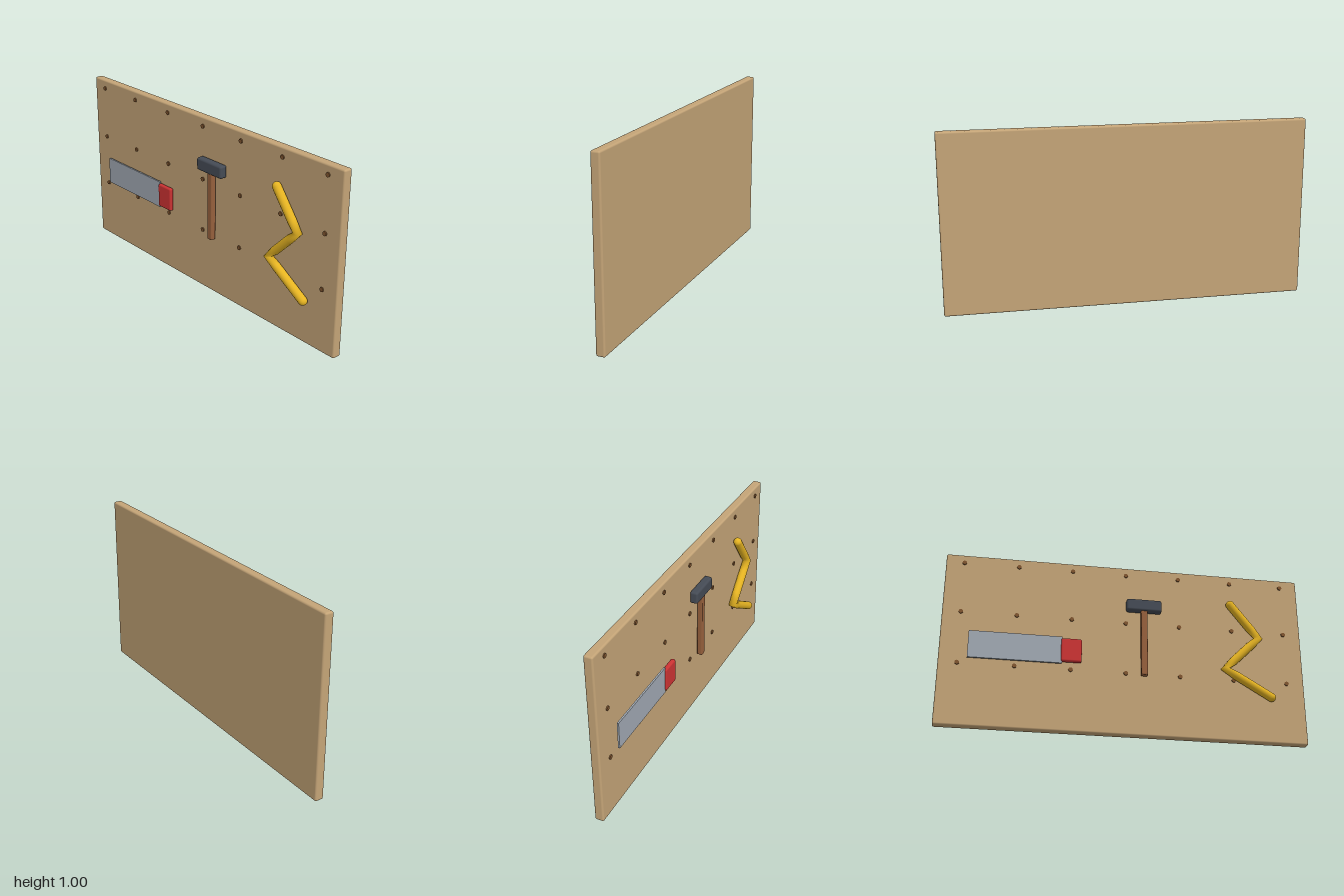
import * as THREE from 'three';
import { RoundedBoxGeometry } from 'three/addons/geometries/RoundedBoxGeometry.js';

const material = (color) => new THREE.MeshStandardMaterial({ color });

function addPart(parent, name, geometry, mat, x = 0, y = 0, z = 0) {
  const mesh = new THREE.Mesh(geometry, mat);
  mesh.name = name;
  mesh.position.set(x, y, z);
  parent.add(mesh);
  return mesh;
}

function addGroup(parent, name) {
  const group = new THREE.Group();
  group.name = name;
  parent.add(group);
  return group;
}

// Straight-legged path: every leg takes an equal share of the parameter,
// so a tube ring falls exactly on each bend.
class ZigzagCurve extends THREE.Curve {
  constructor(points) {
    super();
    this.points = points;
  }
  getPoint(t, target = new THREE.Vector3()) {
    const legs = this.points.length - 1;
    const s = THREE.MathUtils.clamp(t, 0, 1) * legs;
    const i = Math.min(Math.floor(s), legs - 1);
    return target.lerpVectors(this.points[i], this.points[i + 1], s - i);
  }
  getPointAt(u, target) {
    return this.getPoint(u, target);
  }
  getTangentAt(u, target) {
    return this.getTangent(u, target);
  }
}

export function createModel() {
  const model = new THREE.Group();
  model.name = 'toolBoard';

  // Backing board
  addPart(model, 'board', new RoundedBoxGeometry(2, 1, 0.05, 3, 0.01), material(0xc4a477), 0, 0.5, -0.025);

  // Rows of peg dots
  const pegs = addGroup(model, 'pegs');
  const pegGeometry = new THREE.CylinderGeometry(0.012, 0.012, 0.012, 16).rotateX(Math.PI / 2);
  const pegMaterial = material(0x80552f);
  for (const y of [0.35, 0.65, 0.95]) {
    for (let i = -3; i <= 3; i++) addPart(pegs, 'peg', pegGeometry, pegMaterial, i * 0.3, y, 0);
  }

  // Saw
  const saw = addGroup(model, 'saw');
  addPart(saw, 'sawBlade', new THREE.BoxGeometry(0.5, 0.155, 0.01), material(0xa0a8b2), -0.6, 0.452, 0.022);
  addPart(saw, 'sawHandle', new RoundedBoxGeometry(0.112, 0.136, 0.026, 3, 0.01), material(0xcc3333), -0.3, 0.452, 0.023);

  // Hammer
  const hammer = addGroup(model, 'hammer');
  addPart(hammer, 'hammerHead', new RoundedBoxGeometry(0.196, 0.07, 0.046, 3, 0.012), material(0x454b55), 0.098, 0.752, 0.023);
  addPart(hammer, 'hammerHandle', new RoundedBoxGeometry(0.036, 0.39, 0.032, 2, 0.006), material(0x96603c), 0.098, 0.53, 0.023);

  // Folding ruler: tube with rounded ends
  const ruler = addGroup(model, 'foldingRuler');
  const rulerMaterial = material(0xe6b422);
  const radius = 0.024;
  const points = [[0.592, 0.802], [0.745, 0.603], [0.547, 0.406], [0.8, 0.253]]
    .map(([x, y]) => new THREE.Vector3(x, y, 0.026));
  addPart(ruler, 'rulerLegs', new THREE.TubeGeometry(new ZigzagCurve(points), 12, radius, 16, false), rulerMaterial);
  const capGeometry = new THREE.SphereGeometry(radius, 20, 14);
  for (const p of [points[0], points[3]]) addPart(ruler, 'rulerEnd', capGeometry, rulerMaterial, p.x, p.y, p.z);

  return model;
}
